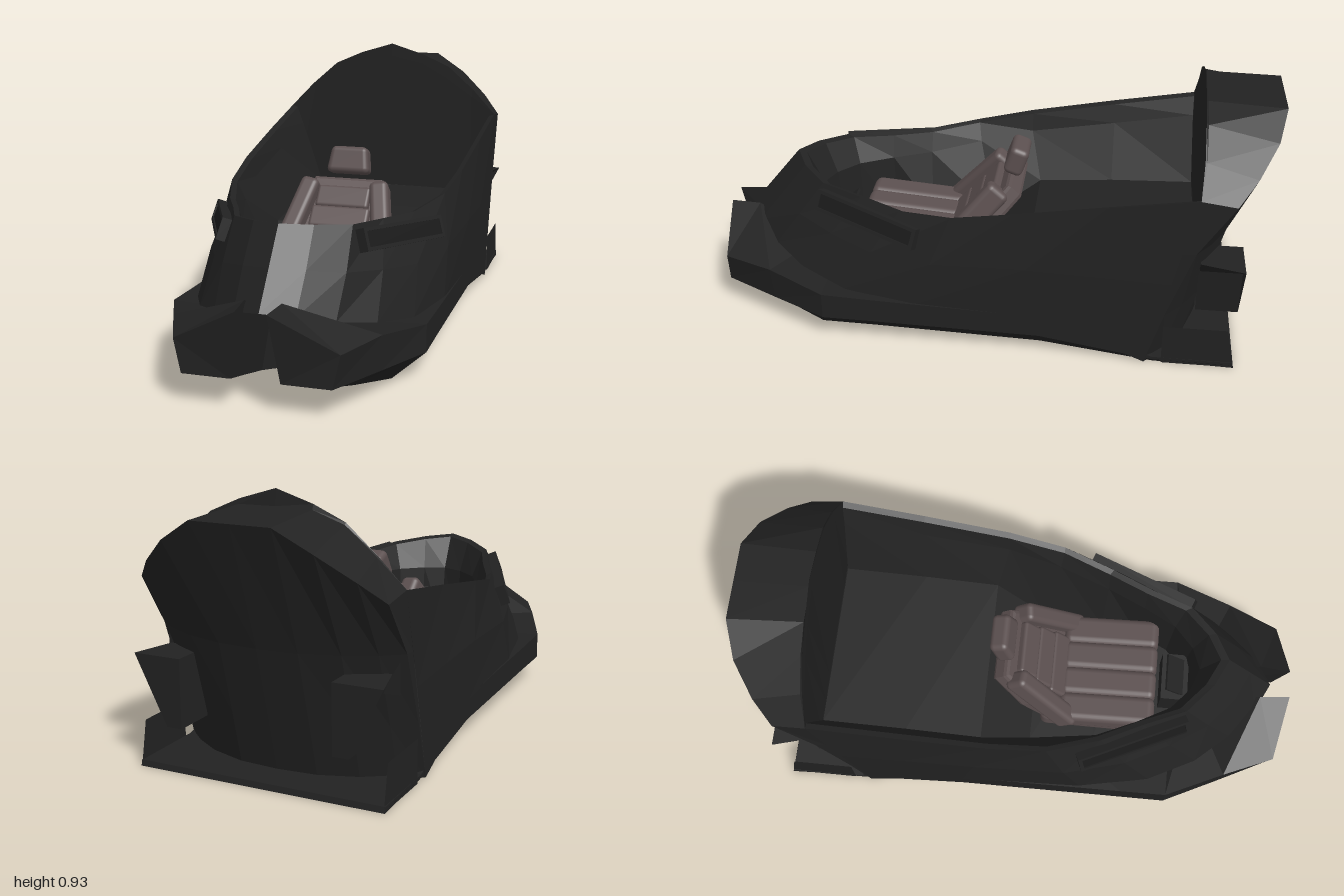
import * as THREE from 'three';
import { RoundedBoxGeometry } from 'three/addons/geometries/RoundedBoxGeometry.js';

const D = THREE.DoubleSide;
const hullMat = new THREE.MeshStandardMaterial({ color: 0x222222, side: D, flatShading: true });
hullMat.name = 'charcoal hull';
const trimMat = new THREE.MeshStandardMaterial({ color: 0x1a1a1a, side: D, flatShading: true });
trimMat.name = 'black trim';
const seatMat = new THREE.MeshStandardMaterial({ color: 0x5c5050 });
seatMat.name = 'brown grey leather';

// Skin over rows of points that all have the same length
function sheet(rows, closed = false) {
  const pos = rows.flat(2), idx = [], n = rows[0].length;
  for (let r = 0; r < rows.length - 1; r++) {
    for (let c = 0; c < (closed ? n : n - 1); c++) {
      const a = r * n + c, b = r * n + (c + 1) % n;
      idx.push(a, a + n, b, b, a + n, b + n);
    }
  }
  const g = new THREE.BufferGeometry();
  g.setAttribute('position', new THREE.Float32BufferAttribute(pos, 3));
  g.setIndex(idx);
  g.computeVertexNormals();
  return g;
}
const flip = ([x, y, z]) => [-x, y, z];
// Half curve starting on the centre line -> whole symmetric curve
const whole = (half) => [...half.slice(1).reverse().map(flip), ...half];
const mix = (a, b, t) => a.map((v, i) => v + (b[i] - v) * t);

export function createModel() {
  const model = new THREE.Group();
  const add = (name, geo, mat, parent = model) => {
    const m = new THREE.Mesh(geo, mat);
    m.name = name;
    parent.add(m);
    return m;
  };

  // Hull shell between cockpit rim and lower edge, nose to stern
  const rim = [[0, 0.53, 0.74], [0.1, 0.52, 0.69], [0.2, 0.505, 0.6], [0.262, 0.492, 0.45], [0.333, 0.483, 0.3],
    [0.398, 0.505, 0.11], [0.42, 0.545, -0.1], [0.43, 0.6, -0.42], [0.437, 0.648, -0.72]];
  const low = [[0, 0.3, 0.93], [0.1, 0.28, 0.88], [0.2, 0.245, 0.79], [0.3, 0.212, 0.67], [0.38, 0.18, 0.5],
    [0.43, 0.16, 0.25], [0.44, 0.145, -0.2], [0.44, 0.07, -0.4], [0.44, 0, -0.57]];
  const mid = rim.map((p, i) => {
    const m = mix(p, low[i], 0.5);
    m[0] = Math.min(0.44, m[0] * 1.03);
    return m;
  });
  add('hullShell', sheet([rim, mid, low].map(whole)), hullMat);

  // Cockpit tub: coaming, ledge, walls, floor and the deck behind the seat
  const coaming = rim.map(([x, y, z]) => [x * 0.95, y - 0.008, z > 0.2 ? z * 0.96 : z]);
  const ledge = [[0, 0.4, 0.65], [0.08, 0.4, 0.62], [0.16, 0.4, 0.55], [0.225, 0.4, 0.43], [0.29, 0.4, 0.29],
    [0.35, 0.43, 0.1], [0.385, 0.47, -0.1], [0.39, 0.52, -0.42], [0.39, 0.57, -0.72]];
  const floor = [[0, 0.17, 0.62], [0.08, 0.17, 0.6], [0.15, 0.17, 0.54], [0.21, 0.17, 0.42], [0.23, 0.17, 0.28],
    [0.26, 0.17, 0.04], [0.31, 0.29, -0.14], [0.31, 0.31, -0.42], [0.31, 0.32, -0.73]];
  add('cockpitWalls', sheet([rim, coaming, ledge, floor].map(whole)), hullMat);
  add('cockpitFloor', sheet(floor.map((p) => [flip(p), p])), hullMat);

  // Rear hood, its raised front lip and the bulkhead closing it
  const arch = [[0, 0.87, -0.735], [0.13, 0.868, -0.735], [0.24, 0.83, -0.735], [0.345, 0.742, -0.735], [0.437, 0.648, -0.72]];
  const tail = [[0, 0.858, -1], [0.14, 0.858, -1], [0.26, 0.785, -0.97], [0.365, 0.7, -0.905], [0.434, 0.63, -0.84]];
  const lipOut = [[0, 0.925, -0.728], [0.13, 0.885, -0.728], [0.24, 0.837, -0.728], [0.345, 0.745, -0.728], [0.437, 0.648, -0.72]];
  const lipIn = [[0, 0.873, -0.728], [0.13, 0.845, -0.728], [0.23, 0.79, -0.728], [0.34, 0.715, -0.728], [0.42, 0.63, -0.722]];
  add('hood', sheet([whole(arch), whole(tail)]), hullMat);
  add('hoodLip', sheet([arch, lipOut, lipIn].map(whole)), hullMat);
  add('bulkhead', sheet([whole(lipIn), whole(lipIn).map(([x, , z]) => [x, 0.32, z - 0.005])]), hullMat);

  // Convex stern: rows of height, side z and centre z
  const sternRows = [[0.45, -0.72, -0.865], [0.2, -0.63, -0.8], [0, -0.57, -0.75]].map(([y, zs, zc]) =>
    [0, 0.14, 0.27, 0.37, 0.44].map((x) => [x, y, zc + (zs - zc) * (x / 0.44) ** 2.5]));
  add('stern', sheet([tail, ...sternRows].map(whole)), hullMat);
  const cheek = [0, 0.31, 0.69, 1].map((t) => mix([0.437, 0.648, -0.72], low[8], t));
  const cheekBack = [tail[4], ...sternRows.map((r) => r[4])];

  // Sled sections: inner top, outer top, outer edge, outer bottom, inner bottom
  const sled = [
    [[0.05, 0.325, 1], [0.265, 0.21, 0.965], [0.24, 0.1, 0.97], [0.2, 0.1, 0.97], [0.08, 0.1, 0.97]],
    [[0.06, 0.325, 0.89], [0.345, 0.215, 0.78], [0.34, 0.095, 0.77], [0.26, 0.05, 0.8], [0.09, 0.05, 0.81]],
    [[0.06, 0.2, 0.65], [0.437, 0.185, 0.57], [0.437, 0.09, 0.57], [0.33, 0, 0.6], [0.095, 0, 0.65]],
    [[0, 0.16, 0.58], [0.437, 0.177, 0.4], [0.437, 0.088, 0.4], [0.335, 0, 0.4], [0, 0, 0.58]],
    [[0, 0.15, -0.2], [0.437, 0.155, -0.2], [0.437, 0.075, -0.2], [0.36, 0, -0.2], [0, 0, -0.2]],
    [[0, 0.02, -0.6], [0.437, 0.02, -0.6], [0.437, 0.01, -0.6], [0.43, 0, -0.6], [0, 0, -0.6]],
    [[0, 0.02, -0.875], [0.44, 0.02, -0.875], [0.44, 0.01, -0.878], [0.44, 0, -0.88], [0, 0, -0.88]],
  ];

  for (const s of [1, -1]) {
    const side = s > 0 ? 'left' : 'right';
    const m = (p) => (s > 0 ? p : flip(p));
    add(side + 'Cheek', sheet([cheek.map(m), cheekBack.map(m)]), hullMat);
    add(side + 'Sled', sheet(sled.map((r) => r.map(m)), true), hullMat);
    [sled[0], sled[6]].forEach(([a, b, c, d, e], i) =>
      add(side + (i ? 'SledEnd' : 'ProngFace'), sheet([[a, b, c].map(m), [e, d, c].map(m)]), hullMat));

    // Upright fin at the rear corner of the sled
    const fin = [[[0.437, 0.15, -0.63], [0.437, 0.15, -0.85]], [[0.437, 0, -0.63], [0.437, 0, -0.88]]];
    add(side + 'RearFin', sheet(fin.map((r) => r.map(m))), hullMat);

    // Stern pod with a pointed top corner, tucked in below
    const podRing = (z, tip) => [[0.27, 0.388, z], [tip, 0.388, z], [0.35, 0.33, z], [0.325, 0.155, z], [0.27, 0.155, z]].map(m);
    const podEnd = podRing(-0.888, 0.44);
    add(side + 'SternPod', sheet([podRing(-0.74, 0.4), podEnd], true), hullMat);
    const [p0, p1, p2, p3, p4] = podEnd;
    add(side + 'SternPodEnd', sheet([[p0, p1, p2], [p4, p3, p2]]), hullMat);

    // Framed vent below the rim
    const vent = new THREE.Group();
    vent.name = side + 'Vent';
    vent.position.set(s * 0.318, 0.437, 0.42);
    vent.lookAt(s * 0.493, 0.395, 0.03);
    vent.rotateZ(-s * 0.35);
    for (const k of [1, -1]) {
      add('ventRail', new THREE.BoxGeometry(0.035, 0.012, 0.42), hullMat, vent).position.y = k * 0.032;
      add('ventEnd', new THREE.BoxGeometry(0.035, 0.07, 0.014), hullMat, vent).position.z = k * 0.203;
    }
    add('ventPanel', new THREE.BoxGeometry(0.024, 0.058, 0.4), trimMat, vent);
    model.add(vent);
  }

  // Control console
  add('console', new THREE.BoxGeometry(0.18, 0.12, 0.1), hullMat).position.set(0, 0.23, 0.57);
  const screen = add('consolePanel', new THREE.BoxGeometry(0.14, 0.09, 0.009), hullMat);
  screen.position.set(0, 0.31, 0.57);
  screen.rotation.x = -0.9;

  // Seat: ribbed cushion, tapered reclined back, bolsters and headrest
  const seat = new THREE.Group();
  seat.name = 'seat';
  model.add(seat);
  const pad = (name, w, h, d, x, y, z, rx = 0, rz = 0, parent = seat) => {
    const p = add(name, new RoundedBoxGeometry(w, h, d, 3, Math.min(w, h, d) * 0.3), seatMat, parent);
    p.position.set(x, y, z);
    p.rotation.set(rx, 0, rz);
  };
  pad('seatBase', 0.4, 0.1, 0.42, 0, 0.215, 0.28);
  for (let i = 0; i < 4; i++) pad('cushionRib', 0.112, 0.09, 0.36, (i - 1.5) * 0.103, 0.27, 0.32, -0.08);

  const back = new THREE.Group();
  back.name = 'seatBack';
  back.position.set(0, 0.24, 0.165);
  back.rotation.x = -0.72;
  seat.add(back);
  const outline = new THREE.Shape([[-0.18, 0], [0.18, 0], [0.17, 0.18], [0.12, 0.33], [-0.12, 0.33], [-0.17, 0.18]]
    .map(([x, y]) => new THREE.Vector2(x, y)));
  add('backShell', new THREE.ExtrudeGeometry(outline,
    { depth: 0.04, bevelEnabled: true, bevelSize: 0.015, bevelThickness: 0.015, bevelSegments: 2 }), seatMat, back).position.z = -0.05;
  for (let i = 0; i < 3; i++) pad('backRib', 0.24 - i * 0.02, 0.088, 0.04, 0, 0.08 + i * 0.085, 0.012, 0, 0, back);
  for (const s of [1, -1]) pad('backBolster', 0.07, 0.33, 0.09, s * 0.16, 0.15, 0.015, 0, s * 0.2, back);

  const head = new RoundedBoxGeometry(0.15, 0.1, 0.07, 3, 0.02);
  const hp = head.attributes.position;
  for (let i = 0; i < hp.count; i++) hp.setX(i, hp.getX(i) * (1 - hp.getY(i) * 2));
  const headrest = add('headrest', head, seatMat, seat);
  headrest.position.set(0, 0.56, -0.08);
  headrest.rotation.x = -0.35;

  return model;
}
